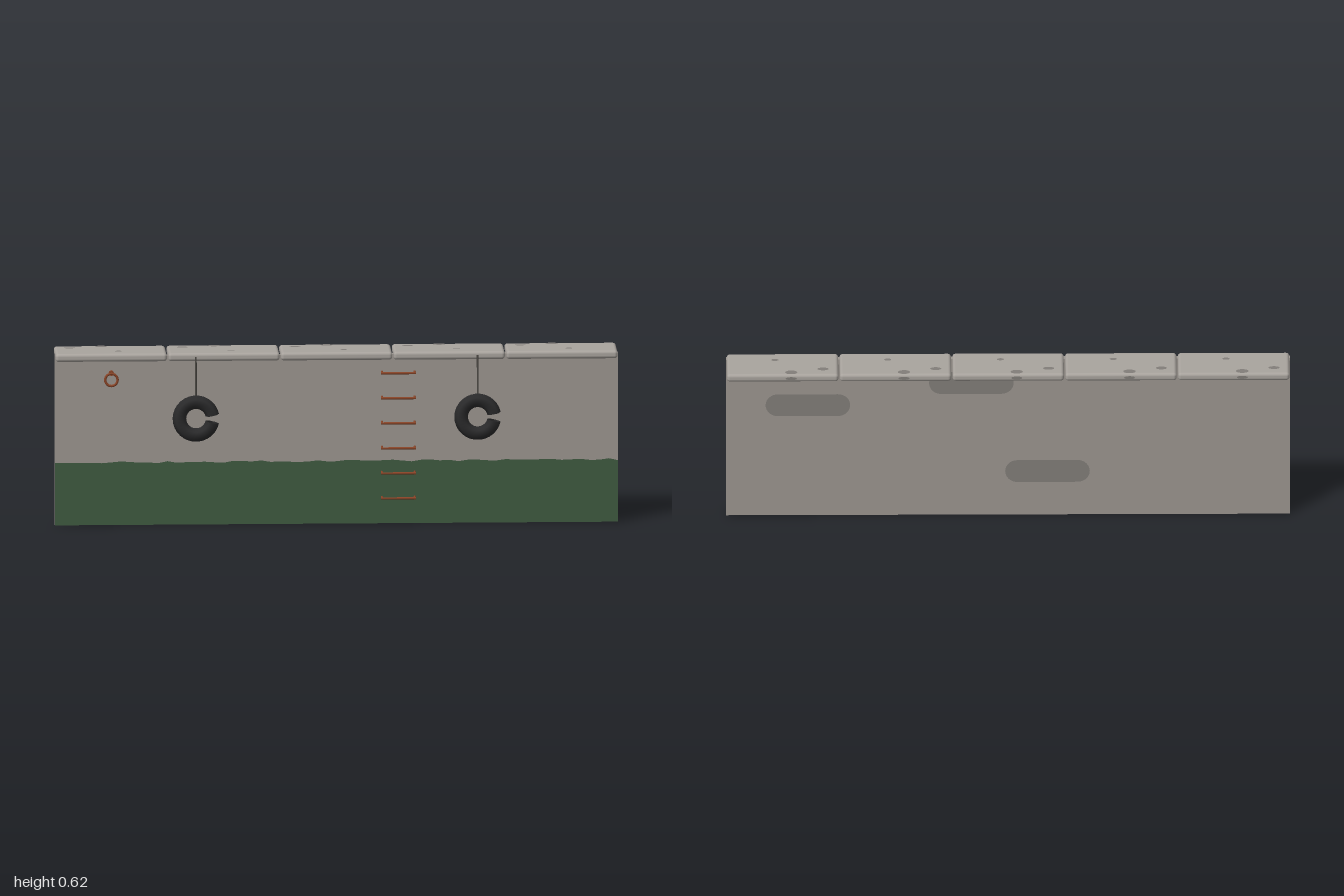
import * as THREE from 'three';
import { RoundedBoxGeometry } from 'three/addons/geometries/RoundedBoxGeometry.js';

const mat = (name, color, side = THREE.FrontSide) => {
  const m = new THREE.MeshStandardMaterial({ color, side });
  m.name = name;
  return m;
};

export function createModel() {
  const root = new THREE.Group();
  root.name = 'quayWall';

  const concrete = mat('concrete', 0x9c9690);
  const capStone = mat('cap stone', 0xa9a49e);
  const stain = mat('stained concrete', 0x827e79);
  const algae = mat('algae green', 0x3f5a40);
  const rust = mat('rusty iron', 0x8a4528);
  const rubber = mat('tyre rubber', 0x2b2b2c, THREE.DoubleSide);
  const rope = mat('rope', 0x4b4843);

  const add = (parent, name, geo, material, x = 0, y = 0, z = 0) => {
    const mesh = new THREE.Mesh(geo, material);
    mesh.name = name;
    mesh.position.set(x, y, z);
    parent.add(mesh);
    return mesh;
  };
  // Round bar between two points
  const bar = (parent, name, a, b, r, material) => {
    const path = new THREE.LineCurve3(new THREE.Vector3(...a), new THREE.Vector3(...b));
    const mesh = add(parent, name, new THREE.CylinderGeometry(r, r, path.getLength(), 8), material);
    mesh.position.copy(path.getPoint(0.5));
    mesh.quaternion.setFromUnitVectors(new THREE.Vector3(0, 1, 0), path.getTangent(0));
    return mesh;
  };

  // Upright wall slab
  const front = 0.062;
  const back = 0.04;
  add(root, 'wallSlab', new THREE.BoxGeometry(2, 0.608, front - back), concrete, 0, 0.304, (front + back) / 2);

  // Algae band with an uneven waterline
  let seed = 7;
  const rand = () => (seed = (seed * 16807) % 2147483647) / 2147483647;
  const band = new THREE.Shape();
  band.moveTo(-1, 0);
  band.lineTo(1, 0);
  for (let i = 0; i <= 60; i++) band.lineTo(1 - i / 30, 0.225 + (rand() - 0.5) * 0.008);
  add(root, 'algaeBand', new THREE.ShapeGeometry(band), algae, 0, 0, front + 0.001);

  // Damp patches on the back, shaped as capsules: x, y, width, height
  const patches = [[0.71, 0.43, 0.3, 0.085], [0.13, 0.515, 0.3, 0.085], [-0.14, 0.17, 0.3, 0.085], [0.91, 0.572, 0.15, 0.04]];
  for (const [x, y, w, h] of patches) {
    const s = new THREE.Shape();
    s.absarc(w / 2 - h / 2, 0, h / 2, -Math.PI / 2, Math.PI / 2);
    s.absarc(-w / 2 + h / 2, 0, h / 2, Math.PI / 2, Math.PI * 1.5);
    add(root, 'backPatch', new THREE.ShapeGeometry(s, 8), stain, x, y, back - 0.001).rotation.y = Math.PI;
  }

  // Row of cap stones, each with a few worn spots: x, z, half width, half depth
  const spots = [[-0.143, -0.06, 0.02, 0.012], [-0.03, -0.088, 0.022, 0.016], [0.027, 0.017, 0.013, 0.009]];
  for (let i = 0; i < 5; i++) {
    const cap = new THREE.Group();
    cap.name = 'capStone';
    cap.position.set(-0.8 + i * 0.4, 0.6025, 0);
    root.add(cap);
    add(cap, 'capSlab', new RoundedBoxGeometry(0.395, 0.029, 0.183, 3, 0.011), capStone, 0, 0, -0.0165);
    for (const [x, z, rx, rz] of spots) {
      const spot = add(cap, 'wornSpot', new THREE.CircleGeometry(1, 16), stain, x, 0.0152, z);
      spot.scale.set(rx, rz, 1);
      spot.rotation.x = -Math.PI / 2;
    }
    const edge = add(cap, 'edgeSpot', new THREE.CircleGeometry(1, 12), stain, -0.03, 0, -0.1087);
    edge.scale.set(0.02, 0.006, 1);
    edge.rotation.y = Math.PI;
  }

  // Tyre fenders hung on ropes, each with a split on one side
  for (const x of [-0.5, 0.5]) {
    const fender = new THREE.Group();
    fender.name = 'tyreFender';
    fender.position.x = x;
    root.add(fender);
    const tyre = new THREE.TorusGeometry(0.059, 0.0242, 6, 28, Math.PI * 2 - 0.42);
    add(fender, 'tyre', tyre, rubber, 0, 0.385, 0.089).rotation.z = 0.2;
    bar(fender, 'hangingRope', [0, 0.605, 0.0765], [0, 0.45, 0.087], 0.003, rope);
  }

  // Ladder of U-shaped rungs
  const ladder = new THREE.Group();
  ladder.name = 'ladder';
  root.add(ladder);
  for (let i = 0; i < 6; i++) {
    const y = 0.095 + i * 0.09;
    bar(ladder, 'rung', [0.157, y, 0.099], [0.281, y, 0.099], 0.004, rust);
    for (const x of [0.161, 0.277]) bar(ladder, 'rungArm', [x, y, 0.05], [x, y, 0.101], 0.004, rust);
  }

  // Mooring ring on its boss
  const mooring = new THREE.Group();
  mooring.name = 'mooringRing';
  mooring.position.x = -0.8;
  root.add(mooring);
  bar(mooring, 'ringBoss', [0, 0.547, 0.055], [0, 0.547, 0.077], 0.0095, rust);
  add(mooring, 'ring', new THREE.TorusGeometry(0.022, 0.0045, 8, 24), rust, 0, 0.524, 0.076);

  return root;
}
